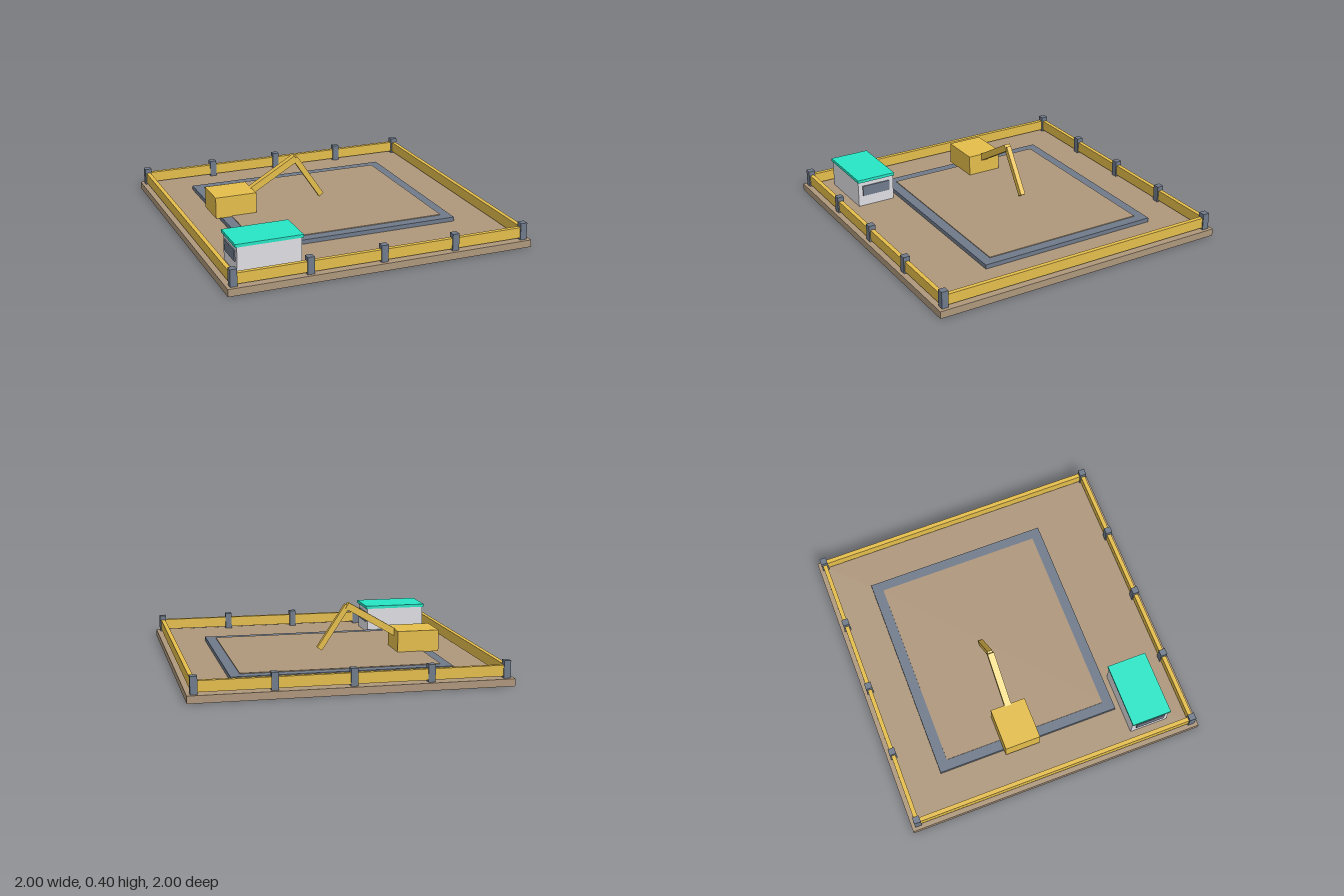
import * as THREE from 'three';

export function createModel() {
  const model = new THREE.Group();
  model.name = 'constructionSite';
  const material = (name, color) => {
    const m = new THREE.MeshStandardMaterial({ color });
    m.name = name;
    return m;
  };
  const earth = material('earth', 0xae977c);
  const yellow = material('safetyYellow', 0xe4bd4b);
  const slate = material('slate', 0x6f7a8a);
  const wall = material('lightGrey', 0xdedee3);
  const teal = material('teal', 0x26e6c6);

  // Box given by its lower and upper corners
  const box = (name, mat, [x0, y0, z0], [x1, y1, z1], parent = model) => {
    const mesh = new THREE.Mesh(new THREE.BoxGeometry(x1 - x0, y1 - y0, z1 - z0), mat);
    mesh.position.set((x0 + x1) / 2, (y0 + y1) / 2, (z0 + z1) / 2);
    mesh.name = name;
    parent.add(mesh);
    return mesh;
  };

  const ground = 0.047;
  box('groundSlab', earth, [-1, 0, -1], [1, ground, 1]);

  // Perimeter fence: four rails, five posts along the front and the back
  const fence = new THREE.Group();
  fence.name = 'fence';
  model.add(fence);
  const edge = 0.956, t = 0.014;
  for (const s of [-1, 1]) {
    const c = s * edge;
    box('longRail', yellow, [-edge, 0.059, c - t], [edge, 0.128, c + t], fence);
    box('sideRail', yellow, [c - t, 0.059, -edge], [c + t, 0.128, edge], fence);
    for (let i = -2; i <= 2; i++) {
      const x = (i * edge) / 2, h = 0.022;
      box('fencePost', slate, [x - h, ground, c - h], [x + h, 0.157, c + h], fence);
    }
  }

  // Foundation pad with an earth infill just proud of its border
  box('foundationPad', slate, [-0.703, ground, -0.705], [0.703, 0.075, 0.525]);
  box('earthInfill', earth, [-0.637, 0.075, -0.638], [0.637, 0.08, 0.458]);

  // Site cabin with a window at each end
  const cabin = new THREE.Group();
  cabin.name = 'siteCabin';
  model.add(cabin);
  box('cabinWalls', wall, [-0.882, ground, 0.562], [-0.474, 0.22, 0.818], cabin);
  box('cabinRoof', teal, [-0.893, 0.22, 0.557], [-0.463, 0.24, 0.822], cabin);
  for (const x of [-0.89, -0.474]) {
    box('cabinWindow', slate, [x, 0.12, 0.593], [x + 0.008, 0.19, 0.787], cabin);
  }

  // Excavator: body and a two-part arm
  const digger = new THREE.Group();
  digger.name = 'excavator';
  model.add(digger);
  const armZ = -0.148;
  box('excavatorBody', yellow, [-0.743, 0.075, armZ - 0.118], [-0.465, 0.217, armZ + 0.118], digger);
  const beam = (name, [x0, y0], [x1, y1], height, width) => {
    const length = Math.hypot(x1 - x0, y1 - y0);
    const mesh = new THREE.Mesh(new THREE.BoxGeometry(length, height, width), yellow);
    mesh.position.set((x0 + x1) / 2, (y0 + y1) / 2, armZ);
    mesh.rotation.z = Math.atan2(y1 - y0, x1 - x0);
    mesh.name = name;
    digger.add(mesh);
  };
  beam('boom', [-0.52, 0.164], [-0.147, 0.384], 0.045, 0.044);
  beam('stick', [-0.152, 0.384], [0.036, 0.102], 0.037, 0.033);

  return model;
}
